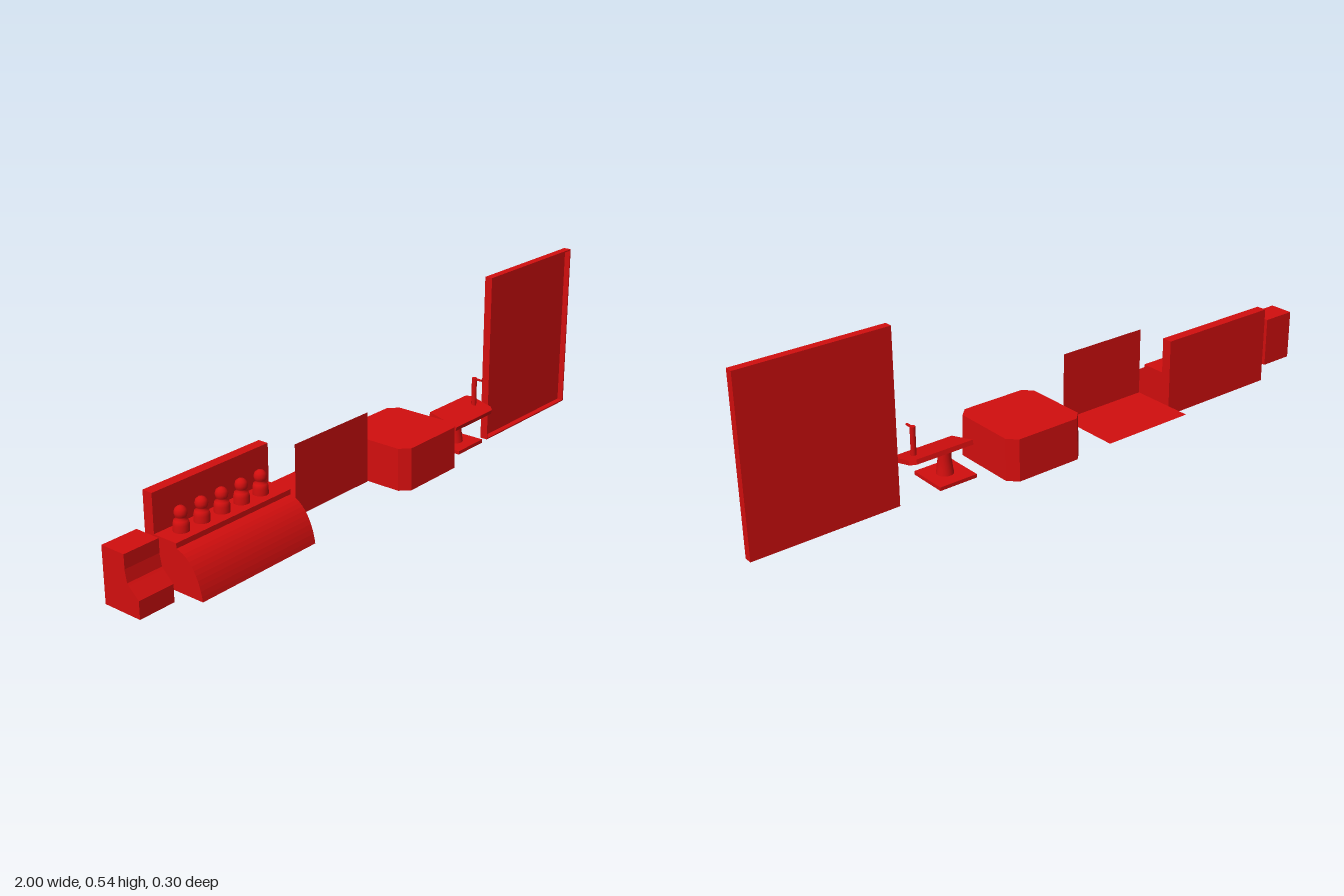
import * as THREE from 'three';

const red = new THREE.MeshStandardMaterial({ color: 0xd20e0e });
red.name = 'red';
const redSheet = new THREE.MeshStandardMaterial({ color: 0xd20e0e, side: THREE.DoubleSide });
redSheet.name = 'red';

function add(parent, name, geometry, x = 0, y = 0, z = 0, material = red) {
  const mesh = new THREE.Mesh(geometry, material);
  mesh.name = name;
  mesh.position.set(x, y, z);
  parent.add(mesh);
  return mesh;
}

// Box given by its minimum and maximum corners
function box(parent, name, [x0, y0, z0], [x1, y1, z1]) {
  return add(parent, name, new THREE.BoxGeometry(x1 - x0, y1 - y0, z1 - z0),
    (x0 + x1) / 2, (y0 + y1) / 2, (z0 + z1) / 2);
}

// Side profile drawn in (z, y) and extruded along x
function sideExtrude(shape, x0, x1) {
  const g = new THREE.ExtrudeGeometry(shape, { depth: x1 - x0, bevelEnabled: false, curveSegments: 12 });
  g.rotateY(-Math.PI / 2);
  return g.scale(1, 1, 1).translate(x1, 0, 0);
}

function group(parent, name) {
  const g = new THREE.Group();
  g.name = name;
  parent.add(g);
  return g;
}

export function createModel() {
  const model = new THREE.Group();
  model.name = 'furnitureSet';

  // Small console with a sloping ledge
  const profile = [[-0.005, 0.04], [0.118, 0.04], [0.118, 0.09], [0.085, 0.12], [0.08, 0.125], [0.066, 0.197], [-0.005, 0.2]];
  const consoleShape = new THREE.Shape(profile.map(([z, y]) => new THREE.Vector2(z, y)));
  add(model, 'console', sideExtrude(consoleShape, -1, -0.888));
  box(model, 'consoleHood', [-1, 0.16, -0.005], [-0.888, 0.2, 0.074]);

  // Counter with a bowed front, back wall and five knobs
  const counter = group(model, 'counter');
  const bow = new THREE.Shape();
  bow.moveTo(-0.03, 0.02);
  bow.lineTo(0.146, 0.02);
  bow.bezierCurveTo(0.138, 0.075, 0.11, 0.13, 0.06, 0.14);
  bow.lineTo(0.06, 0.155);
  bow.lineTo(-0.03, 0.155);
  bow.closePath();
  add(counter, 'counterBody', sideExtrude(bow, -0.82, -0.4));
  box(counter, 'backWall', [-0.82, 0.02, -0.053], [-0.4, 0.268, -0.02]);
  const knobPoints = [[0.022, 0], [0.022, 0.02], [0.019, 0.031], [0.011, 0.036], [0.016, 0.042],
    [0.018, 0.052], [0.015, 0.062], [0.008, 0.068], [0, 0.07]].map(([r, y]) => new THREE.Vector2(r, y));
  for (let i = 0; i < 5; i++) {
    add(counter, 'knob', new THREE.LatheGeometry(knobPoints, 20), -0.76 + i * 0.0725, 0.154, 0.016);
  }

  // Thin upright sheet joined to a flat sheet behind it
  const sheets = group(model, 'sheetStand');
  add(sheets, 'uprightSheet', new THREE.PlaneGeometry(0.308, 0.213), -0.226, 0.1715, 0.06, redSheet);
  add(sheets, 'flatSheet', new THREE.PlaneGeometry(0.308, 0.21).rotateX(-Math.PI / 2), -0.226, 0.065, -0.045, redSheet);

  // Chamfered block, slightly narrower at the top
  const hw = 0.134, hd = 0.131, c = 0.028;
  const plan = [[-hw + c, -hd], [hw - c, -hd], [hw, -hd + c], [hw, hd - c], [hw - c, hd], [-hw + c, hd], [-hw, hd - c], [-hw, -hd + c]];
  const block = new THREE.ExtrudeGeometry(new THREE.Shape(plan.map(([x, z]) => new THREE.Vector2(x, z))),
    { depth: 0.13, bevelEnabled: false });
  block.rotateX(-Math.PI / 2);
  const p = block.attributes.position;
  for (let i = 0; i < p.count; i++) {
    if (p.getY(i) > 0.1) p.setXYZ(i, p.getX(i) * 0.985, p.getY(i), p.getZ(i) * 0.975);
  }
  block.computeVertexNormals();
  add(model, 'chamferedBlock', block, 0.126, 0.03, 0.018);

  // Tilted table on a pedestal with a small hooked post
  const table = group(model, 'tiltedTable');
  box(table, 'base', [0.315, 0.034, -0.022], [0.44, 0.045, 0.105]);
  const stemPoints = [[0.026, 0], [0.023, 0.02], [0.02, 0.045], [0.02, 0.08]].map(([r, y]) => new THREE.Vector2(r, y));
  add(table, 'pedestal', new THREE.LatheGeometry(stemPoints, 20), 0.378, 0.044, 0.043);
  const e = 0.015;
  const top = new THREE.Shape([[0.315, -0.052], [0.52 - e, -0.052], [0.52, -0.052 + e], [0.52, 0.052 - e],
    [0.52 - e, 0.052], [0.315, 0.052]].map(([x, y]) => new THREE.Vector2(x, y)));
  const topGeometry = new THREE.ExtrudeGeometry(top, { depth: 0.014, bevelEnabled: false });
  topGeometry.rotateX(-Math.PI / 2).translate(0, -0.007, 0);
  add(table, 'tableTop', topGeometry, 0, 0.127, 0.042).rotation.x = 0.25;
  add(table, 'post', new THREE.CylinderGeometry(0.008, 0.008, 0.092, 12), 0.482, 0.177, 0.04);
  box(table, 'hook', [0.479, 0.217, 0.036], [0.485, 0.222, 0.068]);

  // Tall panel: a back plate with a shallow raised rim
  const panel = group(model, 'tallPanel');
  box(panel, 'backPlate', [0.54, 0, 0.03], [1, 0.536, 0.036]);
  for (const x of [0.54, 0.996]) box(panel, 'sideRim', [x, 0, 0.03], [x + 0.004, 0.536, 0.055]);
  for (const y of [0, 0.532]) box(panel, 'endRim', [0.54, y, 0.03], [1, y + 0.004, 0.055]);

  return model;
}
